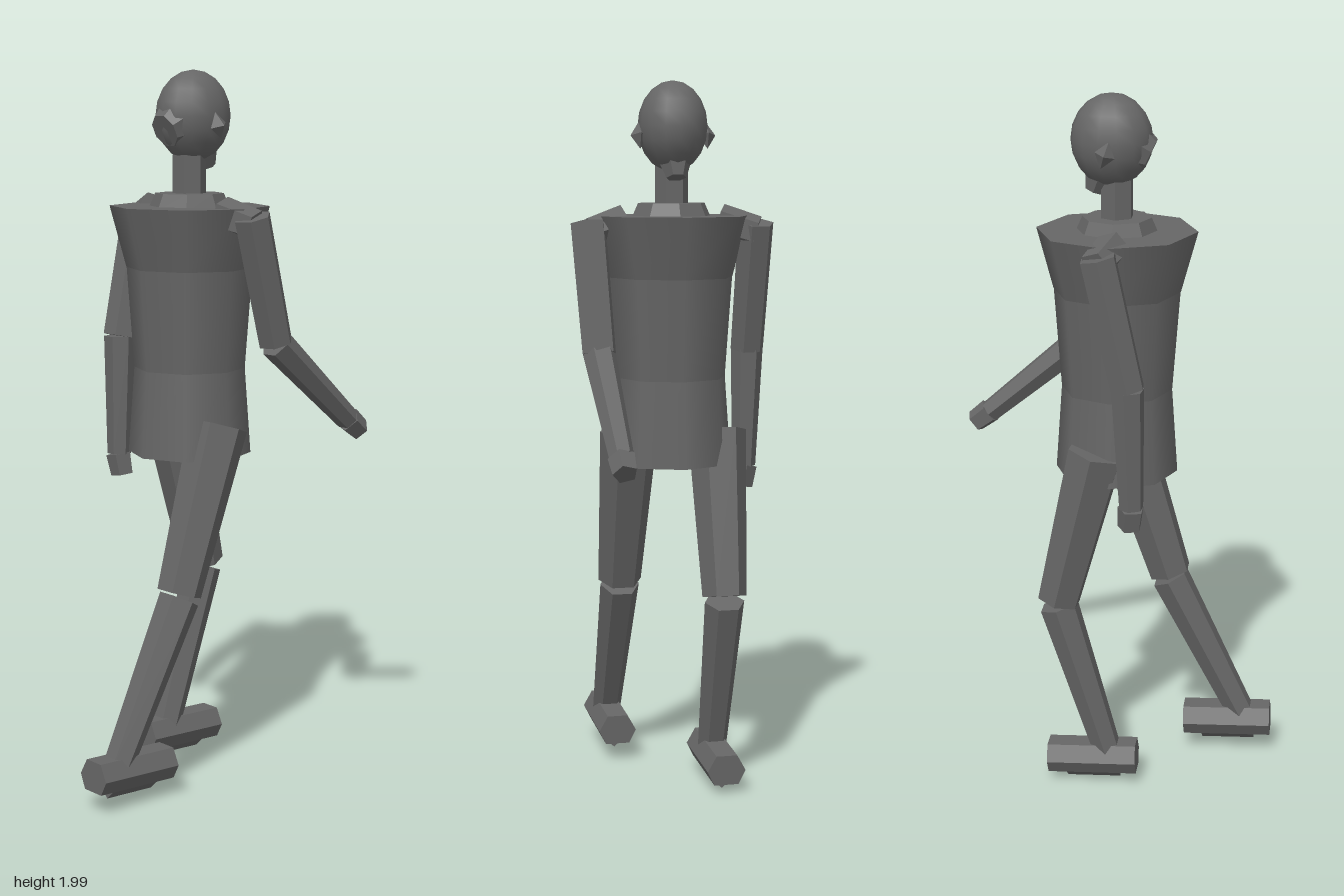
import * as THREE from 'three';

const faceted = new THREE.MeshStandardMaterial({ color: 0x666666, flatShading: true });
faceted.name = 'grey';
const smooth = new THREE.MeshStandardMaterial({ color: 0x666666 });
smooth.name = 'smooth grey';

export function createModel() {
  const model = new THREE.Group();
  model.name = 'walkingFigure';

  const add = (name, geometry, material = faceted, parent = model) => {
    const mesh = new THREE.Mesh(geometry, material);
    mesh.name = name;
    parent.add(mesh);
    return mesh;
  };

  // Tapered prism running from point a to point b
  const limb = (name, a, b, rA, rB, sides = 6, roll = 0) => {
    const start = new THREE.Vector3(...a), end = new THREE.Vector3(...b);
    const dir = end.clone().sub(start);
    const mesh = add(name, new THREE.CylinderGeometry(rB, rA, dir.length(), sides, 1, false, roll));
    mesh.position.copy(start).add(end).multiplyScalar(0.5);
    mesh.quaternion.setFromUnitVectors(new THREE.Vector3(0, 1, 0), dir.normalize());
    return mesh;
  };

  // Upright drum between two heights
  const drum = (name, y0, y1, r0, r1, sides, material) => {
    const mesh = add(name, new THREE.CylinderGeometry(r1, r0, y1 - y0, sides), material);
    mesh.position.set(-0.006, (y0 + y1) / 2, 0);
    return mesh;
  };

  // Torso
  drum('hips', 0.94, 1.18, 0.172, 0.155, 8, smooth);
  drum('waist', 1.18, 1.47, 0.155, 0.176, 8, smooth);
  drum('chest', 1.46, 1.63, 0.176, 0.222, 8, smooth);
  drum('collar', 1.62, 1.665, 0.115, 0.095, 8);
  drum('neck', 1.64, 1.77, 0.047, 0.047, 6);

  // Head
  const skull = add('skull', new THREE.SphereGeometry(1, 14, 10), smooth);
  skull.scale.set(0.112, 0.125, 0.096);
  skull.position.set(0.008, 1.875, 0);
  limb('backOfHead', [-0.02, 1.87, 0], [-0.095, 1.835, 0], 0.085, 0.048, 8, Math.PI / 8);
  limb('chin', [0.03, 1.8, 0], [0.055, 1.735, 0], 0.055, 0.028, 6);
  for (const s of [1, -1]) {
    const ear = add(s > 0 ? 'leftEar' : 'rightEar', new THREE.OctahedronGeometry(1));
    ear.scale.set(0.028, 0.038, 0.025);
    ear.position.set(0.015, 1.85, s * 0.095);
    ear.rotation.z = 0.3;
  }

  // Shoulders
  for (const s of [1, -1]) {
    limb(s > 0 ? 'leftShoulder' : 'rightShoulder',
      [-0.015, 1.615, s * 0.14], [0.02, 1.585, s * 0.24], 0.05, 0.045, 5, Math.PI / 5);
  }

  // Arms: shoulder, elbow, wrist, fingertip
  const arms = {
    left: [[0.01, 1.61, 0.238], [0.11, 1.26, 0.228], [0.40, 1.015, 0.225], [0.445, 0.98, 0.225]],
    right: [[0.015, 1.61, -0.238], [-0.065, 1.25, -0.235], [-0.075, 0.91, -0.23], [-0.07, 0.85, -0.22]],
  };
  for (const [side, [shoulder, elbow, wrist, tip]] of Object.entries(arms)) {
    limb(side + 'UpperArm', shoulder, elbow, 0.052, 0.049);
    limb(side + 'Forearm', elbow, wrist, 0.046, 0.034);
    limb(side + 'Hand', wrist, tip, 0.038, 0.034, 5);
  }

  // Foot profiles (z, y) pushed along the walking direction
  const slab = (points, length) => {
    const shape = new THREE.Shape(points.map(([z, y]) => new THREE.Vector2(-z, y)));
    const geometry = new THREE.ExtrudeGeometry(shape, { depth: length, bevelEnabled: false });
    return geometry.rotateY(Math.PI / 2);
  };
  const upper = [[0.055, 0], [0.03, 0.045], [-0.03, 0.045], [-0.055, 0], [-0.035, -0.04], [0.035, -0.04]];
  const ridge = [[0.045, -0.015], [-0.045, -0.015], [-0.035, -0.035], [0, -0.068], [0.035, -0.035]];

  // Legs: hip, knee, ankle
  const legs = {
    left: [[-0.005, 1.03, 0.122], [-0.15, 0.575, 0.122], [-0.37, 0.125, 0.12]],
    right: [[0.035, 1.03, -0.122], [0.145, 0.575, -0.118], [0.005, 0.1, -0.118]],
  };
  for (const [side, [hip, knee, ankle]] of Object.entries(legs)) {
    limb(side + 'Thigh', hip, knee, 0.083, 0.063);
    limb(side + 'Shin', [knee[0], knee[1] - 0.015, knee[2]], ankle, 0.057, 0.042);
    const foot = new THREE.Group();
    foot.name = side + 'Foot';
    foot.position.set(ankle[0], ankle[1] - 0.015, ankle[2]);
    foot.rotation.z = -0.04;
    add(side + 'FootUpper', slab(upper, 0.257), faceted, foot).position.x = -0.085;
    add(side + 'Sole', slab(ridge, 0.155), faceted, foot).position.x = -0.035;
    model.add(foot);
  }

  // Centre and stand on the ground
  const box = new THREE.Box3().setFromObject(model, true);
  model.position.set(-(box.min.x + box.max.x) / 2, -box.min.y, -(box.min.z + box.max.z) / 2);
  return model;
}
